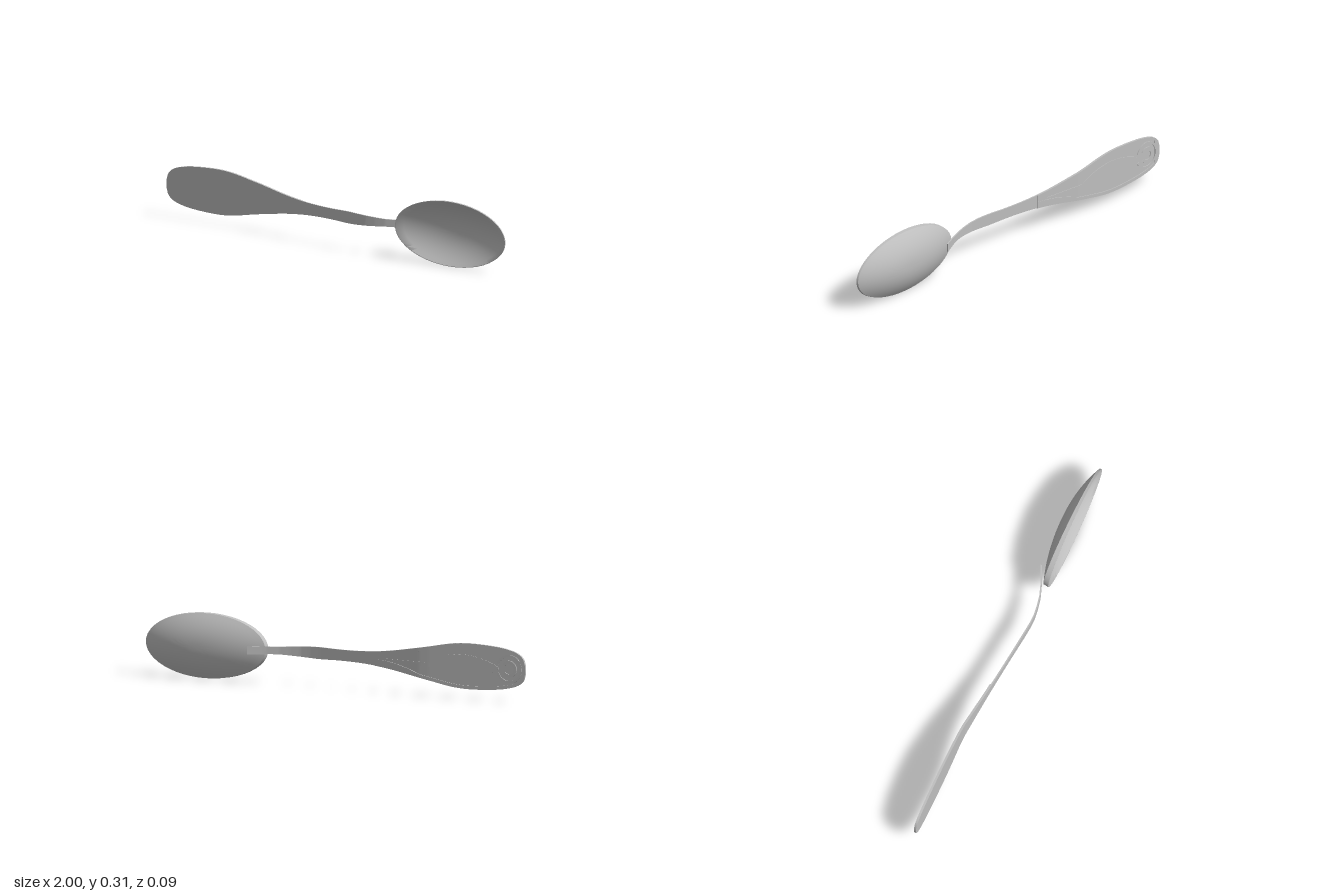
import * as THREE from 'three';
import { toCreasedNormals } from 'three/addons/utils/BufferGeometryUtils.js';

const CY = 0.156; // height of the spoon's long axis

// Piecewise linear lookup in a list of [x, value] pairs
function lookup(pts, x) {
  for (let i = 1; i < pts.length; i++) {
    const [x0, v0] = pts[i - 1], [x1, v1] = pts[i];
    if (x <= x1) return v0 + (v1 - v0) * Math.max(0, (x - x0) / (x1 - x0));
  }
  return pts[pts.length - 1][1];
}
const smooth = (pts) => new THREE.SplineCurve(pts.map(([x, y]) => new THREE.Vector2(x, y)))
  .getPoints(pts.length * 6).map((p) => [p.x, p.y]);

// Handle half width and bent centre line along x
const widthPts = smooth([[-1, 0.018], [-0.992, 0.047], [-0.97, 0.07], [-0.93, 0.087], [-0.85, 0.101],
  [-0.72, 0.108], [-0.62, 0.102], [-0.5, 0.08], [-0.4, 0.062], [-0.3, 0.045], [-0.2, 0.033],
  [-0.1, 0.027], [0, 0.026], [0.1, 0.028], [0.2, 0.024], [0.3, 0.018], [0.36, 0.018], [0.44, 0.02]]);
const bendPts = [[-1, -0.009], [-0.5, -0.017], [-0.45, -0.016], [0.1, 0.036], [0.15, 0.04], [0.2, 0.04],
  [0.25, 0.033], [0.3, 0.022], [0.36, 0], [0.44, -0.037]];
const halfWidth = (x) => lookup(widthPts, x);
const bend = (x) => lookup(bendPts, x);

// Closed geometry from equal loops of points, capped at both ends
function loft(loops) {
  const pos = [], idx = [], n = loops[0].length;
  loops.forEach((l) => l.forEach((p) => pos.push(...p)));
  for (let s = 0; s < loops.length - 1; s++)
    for (let i = 0; i < n; i++) {
      const j = (i + 1) % n, a = s * n + i, d = s * n + j;
      idx.push(a, a + n, d + n, a, d + n, d);
    }
  const e = (loops.length - 1) * n;
  for (let i = 1; i < n - 1; i++) idx.push(0, i, i + 1, e, e + i + 1, e + i);
  const g = new THREE.BufferGeometry();
  g.setAttribute('position', new THREE.Float32BufferAttribute(pos, 3));
  g.setIndex(idx);
  return toCreasedNormals(g, 0.6);
}

// Flat strip that follows the bend; front and back are offsets from it
function strip(x0, x1, low, high, front, back, steps) {
  const loops = [];
  for (let i = 0; i <= steps; i++) {
    const x = x0 + (x1 - x0) * i / steps, z = bend(x), lo = CY + low(x), hi = CY + high(x);
    loops.push([[x, lo, z + front], [x, hi, z + front], [x, hi, z + back], [x, lo, z + back]]);
  }
  return loft(loops);
}

// Thin oval bowl with an upright rim band, open to the front
function bowlGeometry() {
  const rx = 0.315, ry = 0.155, seg = 48, rings = 10;
  const rows = [];
  const rim = (u) => 0.025 - 0.009 * u;
  const curve = (r) => 1 - Math.pow(r, 2.2);
  for (let i = 0; i <= rings; i++) {             // outside, centre to rim
    const r = i / rings;
    rows.push([r * 0.99, () => 0.008 - 0.057 * curve(r), 0.04]);
  }
  rows.push([1, (u) => rim(u), 0]);              // front edge of the band
  for (let i = rings; i >= 0; i--) {             // inside, rim to centre
    const r = i / rings;
    rows.push([r * 0.985, (u) => rim(u) * (1 - curve(r)) - 0.041 * curve(r), 0.04]);
  }
  const pos = [], idx = [];
  rows.forEach(([r, z, shift]) => {
    for (let k = 0; k < seg; k++) {
      const a = k / seg * Math.PI * 2, u = r * Math.cos(a);
      pos.push(0.68 + rx * u + shift * (1 - r) * 0.8, 0.155 + ry * r * Math.sin(a), z(u));
    }
  });
  for (let s = 0; s < rows.length - 1; s++)
    for (let k = 0; k < seg; k++) {
      const j = (k + 1) % seg, a = s * seg + k, b = s * seg + j;
      if (s > 0) idx.push(a, b, b + seg);
      if (s < rows.length - 2) idx.push(a, b + seg, a + seg);
      else if (s === rows.length - 2) idx.push(a, b, a + seg);
    }
  for (let k = 0; k < seg; k++) idx.push(k, seg + (k + 1) % seg, seg + k);
  const g = new THREE.BufferGeometry();
  g.setAttribute('position', new THREE.Float32BufferAttribute(pos, 3));
  g.setIndex(idx);
  return toCreasedNormals(g, 0.6);
}

// Flat arc-shaped ridge
function arcGeometry(outer, inner, start, end, depth) {
  const s = new THREE.Shape();
  s.absarc(0, 0, outer, start, end, false);
  s.absarc(0, 0, inner, end, start, true);
  return new THREE.ExtrudeGeometry(s, { depth, bevelEnabled: false, curveSegments: 28 });
}

export function createModel() {
  const model = new THREE.Group();
  const metal = new THREE.MeshStandardMaterial({ color: 0xbfbfbf, side: THREE.DoubleSide });
  metal.name = 'silver metal';
  const add = (name, geometry) => {
    const m = new THREE.Mesh(geometry, metal);
    m.name = name;
    model.add(m);
    return m;
  };

  add('bowl', bowlGeometry());
  add('handle', strip(-1, 0.44, (x) => -halfWidth(x), halfWidth, 0.004, -0.003, 180));

  // Raised border on the back, around a long sunken panel
  const panel = (x) => {
    const neck = Math.min(1, Math.max(0, (-0.2 - x) / 0.25));
    const tip = Math.min(1, Math.max(0, (x + 0.985) / 0.02));
    return Math.max(0, halfWidth(x) - 0.016) * neck * tip;
  };
  add('upperBorder', strip(-1, -0.2, panel, halfWidth, -0.002, -0.007, 90));
  add('lowerBorder', strip(-1, -0.2, (x) => -halfWidth(x), (x) => -panel(x), -0.002, -0.007, 90));

  // Leaf with a tapering stem inside the panel
  const leaf = (x) => {
    const t = Math.min(1, Math.max(0, (x + 0.86) / 0.38));
    return 0.004 + 0.05 * Math.pow(Math.sin(Math.PI * t), 0.8);
  };
  add('leaf', strip(-0.86, -0.48, (x) => -leaf(x), leaf, -0.002, -0.0055, 40));
  add('leafStem', strip(-0.48, -0.2, () => -0.004, () => 0.004, -0.002, -0.0055, 12));

  // Round scroll at the end of the handle
  const scroll = [['scrollRing', 0.068, 0.056, 0.35, Math.PI * 2 - 0.35],
    ['scrollCurl', 0.04, 0.024, 0.6, Math.PI * 2 - 0.6]];
  for (const [name, outer, inner, start, end] of scroll)
    add(name, arcGeometry(outer, inner, start, end, 0.005)).position.set(-0.915, CY, -0.0175);

  return model;
}
